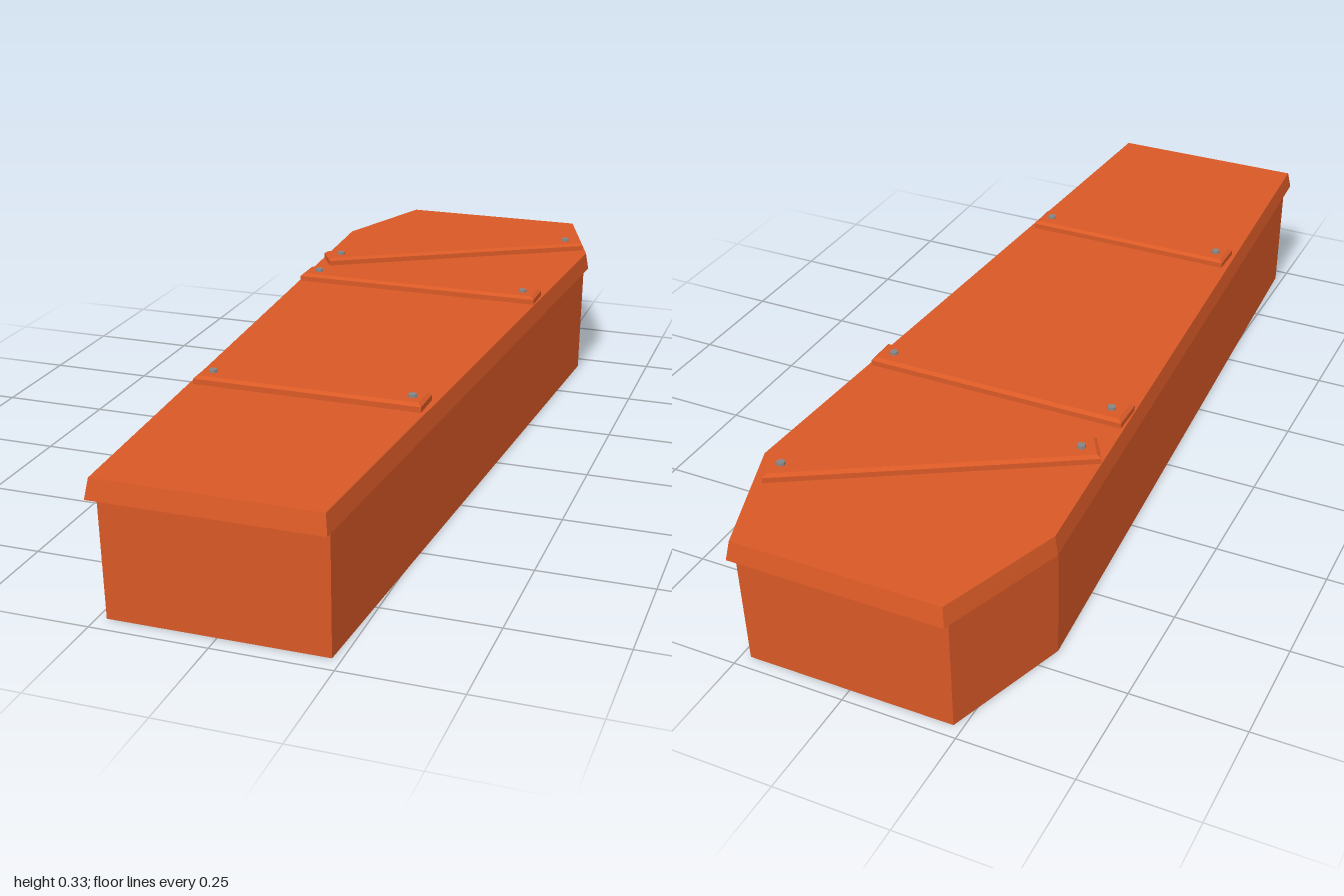
import * as THREE from 'three';

// Closed faceted solid from stacked outlines; each ring is { y, pts: [[x, z], ...] }
function loft(rings) {
  const pos = [];
  const tri = (...corners) => corners.forEach((c) => pos.push(...c));
  const at = (r, i) => {
    const [x, z] = r.pts[i % r.pts.length];
    return [x, r.y, z];
  };
  const n = rings[0].pts.length;
  for (let k = 0; k < rings.length - 1; k++) {
    for (let i = 0; i < n; i++) {
      const a = at(rings[k], i), b = at(rings[k], i + 1);
      const c = at(rings[k + 1], i + 1), d = at(rings[k + 1], i);
      tri(a, b, c);
      tri(a, c, d);
    }
  }
  const bottom = rings[0], top = rings[rings.length - 1];
  for (let i = 1; i < n - 1; i++) {
    tri(at(bottom, 0), at(bottom, i + 1), at(bottom, i));
    tri(at(top, 0), at(top, i), at(top, i + 1));
  }
  const geo = new THREE.BufferGeometry();
  geo.setAttribute('position', new THREE.Float32BufferAttribute(pos, 3));
  geo.computeVertexNormals();
  return geo;
}

// Six-sided outline: narrow foot at +z, wide shoulders, narrow head at -z
function outline(y, foot, footZ, shoulder, shoulderZ, head, headZ) {
  return {
    y,
    pts: [[-foot, footZ], [foot, footZ], [shoulder, shoulderZ],
      [head, headZ], [-head, headZ], [-shoulder, shoulderZ]],
  };
}

function rect(y, w, d) {
  return { y, pts: [[-w, d], [w, d], [w, -d], [-w, -d]] };
}

export function createModel() {
  const wood = new THREE.MeshStandardMaterial({ color: 0xd95926, flatShading: true });
  wood.name = 'orange wood';
  const metal = new THREE.MeshStandardMaterial({ color: 0x858585, flatShading: true });
  metal.name = 'grey metal';

  const model = new THREE.Group();
  model.name = 'coffin';
  const add = (name, geo, mat, parent = model) => {
    const mesh = new THREE.Mesh(geo, mat);
    mesh.name = name;
    parent.add(mesh);
    return mesh;
  };

  // Box, flaring very slightly upward
  add('box', loft([
    outline(0, 0.231, 0.96, 0.324, -0.695, 0.23, -0.97),
    outline(0.268, 0.233, 0.966, 0.327, -0.7, 0.232, -0.976),
  ]), wood);

  // Overhanging lid with sloped edges
  add('lid', loft([
    outline(0.268, 0.24, 1.0, 0.335, -0.72, 0.236, -1.0),
    outline(0.31, 0.234, 0.99, 0.328, -0.717, 0.23, -0.991),
  ]), wood);

  // Bevelled planks, each held by two nails
  const planks = [
    { name: 'footPlank', z: 0.453, half: 0.252, nail: 0.222, angle: 0 },
    { name: 'middlePlank', z: -0.292, half: 0.3, nail: 0.263, angle: 0 },
    { name: 'diagonalPlank', z: -0.602, half: 0.341, nail: 0.304, angle: 0.53 },
  ];
  for (const p of planks) {
    const group = new THREE.Group();
    group.name = p.name;
    group.position.set(0, 0.31, p.z);
    group.rotation.y = p.angle;
    model.add(group);
    add('board', loft([
      rect(-0.002, p.half, 0.038),
      rect(0.012, p.half, 0.038),
      rect(0.018, p.half - 0.008, 0.03),
    ]), wood, group);
    for (const side of [-1, 1]) {
      const nail = add(side > 0 ? 'leftNail' : 'rightNail',
        new THREE.CylinderGeometry(0.009, 0.01, 0.008, 8), metal, group);
      nail.position.set(side * p.nail, 0.02, 0);
    }
  }
  return model;
}
